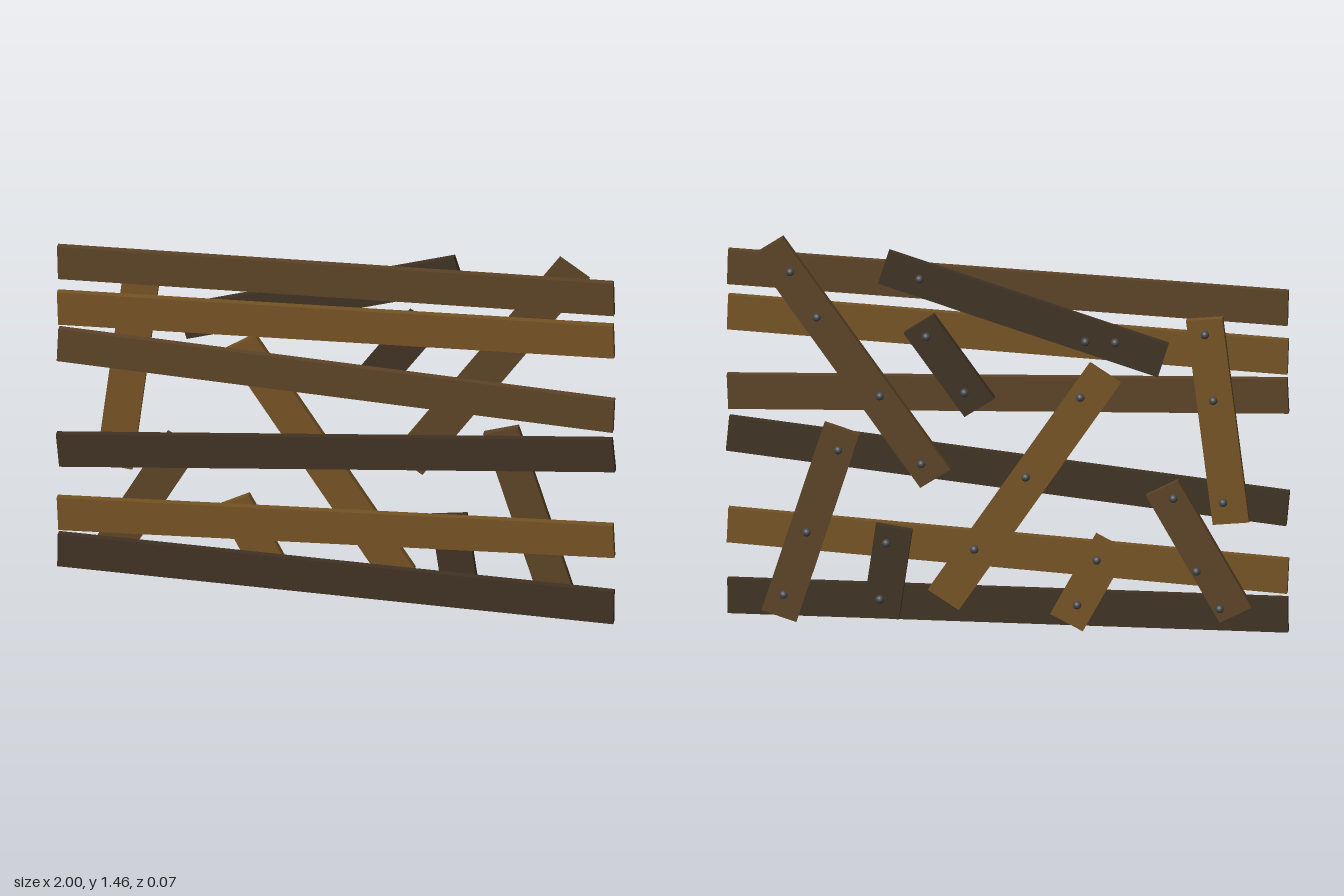
import * as THREE from 'three';

const WIDTH = 0.13, THICK = 0.024;
const material = (color) => new THREE.MeshStandardMaterial({ color });
const tan = material(0x755324), brown = material(0x5c4326), dark = material(0x403224);
const iron = material(0x45474a);

// A straight board whose centre line runs from (x1, y1) to (x2, y2)
function board(name, [x1, y1, x2, y2], z, mat) {
  const length = Math.hypot(x2 - x1, y2 - y1);
  const mesh = new THREE.Mesh(new THREE.BoxGeometry(length, WIDTH, THICK), mat);
  mesh.name = name;
  mesh.position.set((x1 + x2) / 2, (y1 + y2) / 2, z);
  mesh.rotation.z = Math.atan2(y2 - y1, x2 - x1);
  return mesh;
}

export function createModel() {
  const model = new THREE.Group();
  model.name = 'plankBarricade';

  // Six long front planks: height at the right end (-x) and the left end (+x)
  const planks = [
    [1.277, 1.331, brown], [1.092, 1.159, tan], [0.944, 0.857, brown],
    [0.516, 0.698, dark], [0.259, 0.35, tan], [0.112, 0.081, dark],
  ];
  planks.forEach(([yRight, yLeft, mat], i) => {
    model.add(board(`frontPlank${i + 1}`, [-0.996, yRight, 0.996, yLeft], 0.022, mat));
  });

  // Braces on the back, each with its nail positions
  const braces = [
    { name: 'upperRightBrace', line: [-0.702, 1.23, -0.797, 0.46], mat: tan,
      nails: [[-0.705, 1.175], [-0.735, 0.926], [-0.77, 0.54]] },
    { name: 'topBrace', line: [0.439, 1.368, -0.556, 1.065], mat: dark,
      nails: [[0.31, 1.333], [-0.28, 1.126], [-0.386, 1.128]] },
    { name: 'longLeftBrace', line: [0.85, 1.425, 0.254, 0.575], mat: brown, nailZ: -0.014,
      nails: [[0.77, 1.334], [0.675, 1.167], [0.451, 0.879], [0.304, 0.629]] },
    { name: 'shortUpperBrace', line: [0.313, 1.158, 0.097, 0.853], mat: dark,
      nails: [[0.286, 1.115], [0.15, 0.91]] },
    { name: 'middleBrace', line: [-0.348, 1.004, 0.225, 0.116], mat: tan,
      nails: [[-0.262, 0.913], [-0.068, 0.6], [0.115, 0.316]] },
    { name: 'lowerLeftBrace', line: [0.587, 0.745, 0.81, 0.024], mat: brown,
      nails: [[0.599, 0.668], [0.711, 0.35], [0.793, 0.109]] },
    { name: 'shortLeftBrace', line: [0.401, 0.381, 0.448, 0.042], mat: dark,
      nails: [[0.428, 0.323], [0.451, 0.109]] },
    { name: 'shortRightBrace', line: [-0.373, 0.361, -0.213, 0.053], mat: tan,
      nails: [[-0.321, 0.298], [-0.251, 0.124]] },
    { name: 'lowerRightBrace', line: [-0.552, 0.581, -0.814, 0.113], mat: brown,
      nails: [[-0.593, 0.547], [-0.675, 0.274], [-0.758, 0.136]] },
  ];
  const nailHead = new THREE.SphereGeometry(0.015, 16, 12);
  for (const { name, line, mat, nails, nailZ = -0.019 } of braces) {
    const group = new THREE.Group();
    group.name = name;
    group.add(board(`${name}Board`, line, -0.002, mat));
    // Round nail heads sunk into the back face
    for (const [x, y] of nails) {
      const nail = new THREE.Mesh(nailHead, iron);
      nail.name = 'nailHead';
      nail.position.set(x, y, nailZ);
      group.add(nail);
    }
    model.add(group);
  }
  return model;
}
